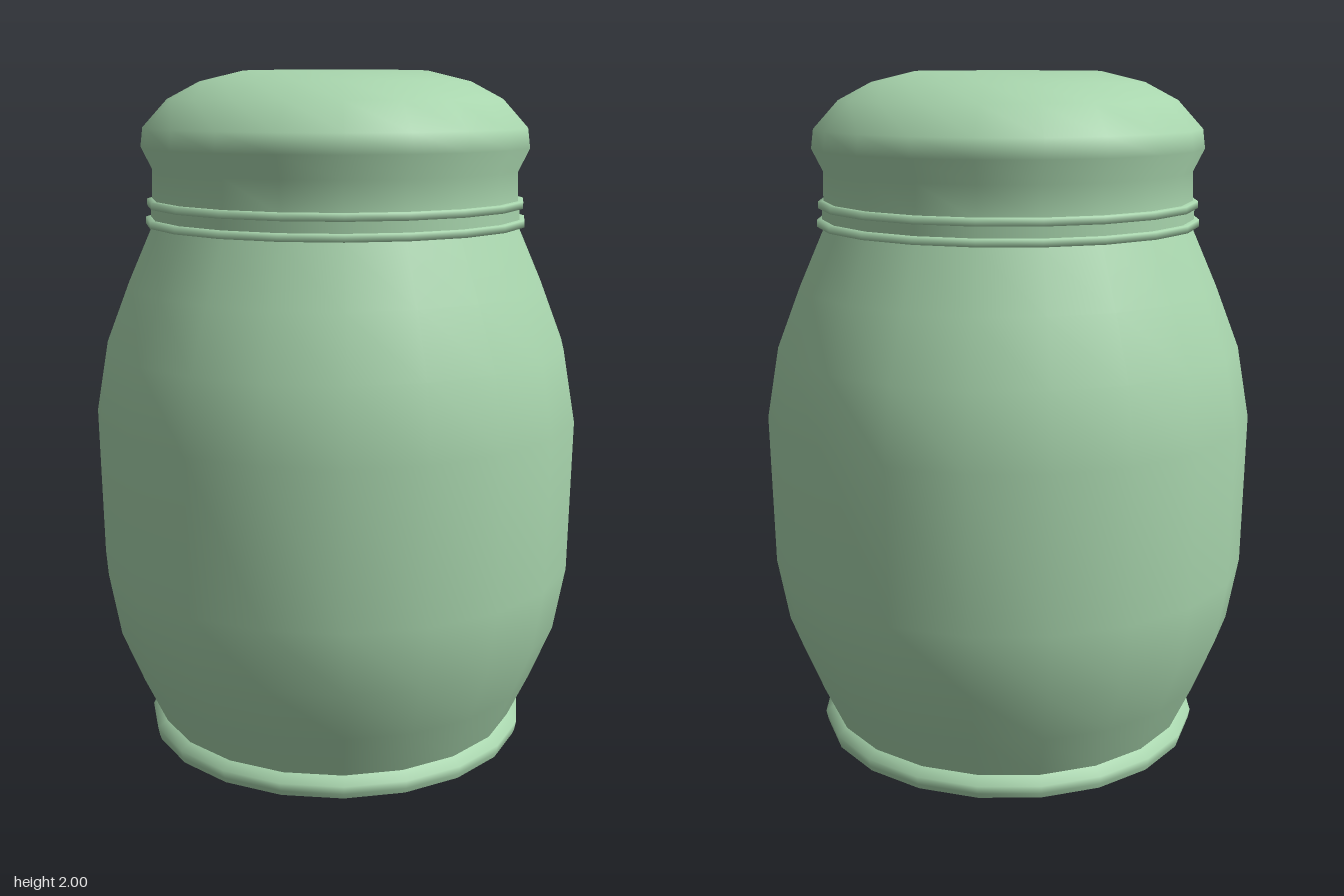
import * as THREE from 'three';

const SIDES = 20;

export function createModel() {
  const group = new THREE.Group();
  group.name = 'jar';
  const material = new THREE.MeshStandardMaterial({ color: 0xa8d5ad, side: THREE.DoubleSide });

  // Turns a [radius, height] profile, listed from bottom to top, around y
  function turned(name, profile) {
    const points = profile.map(([r, y]) => new THREE.Vector2(r, y));
    const mesh = new THREE.Mesh(new THREE.LatheGeometry(points, SIDES), material);
    mesh.name = name;
    group.add(mesh);
  }

  // Flat underside
  turned('underside', [[0, 0], [0.57, 0]]);

  // Flared foot
  turned('foot', [[0.57, 0], [0.575, 0.015], [0.58, 0.04], [0.55, 0.06]]);

  // Barrel-shaped body
  turned('body', [
    [0.55, 0.06], [0.615, 0.2], [0.68, 0.36], [0.714, 0.55],
    [0.722, 1.0], [0.685, 1.21], [0.615, 1.39], [0.54, 1.56],
  ]);

  // Two thin collar rings with a groove between them
  for (const [name, r, y] of [['lowerRing', 0.56, 1.56], ['upperRing', 0.555, 1.613]]) {
    turned(name, [[0.535, y], [r, y + 0.002], [r, y + 0.022], [0.535, y + 0.024]]);
  }
  turned('collarGroove', [[0.545, 1.575], [0.545, 1.62]]);

  // Lid: straight neck, bulging rim and domed, flat-topped crown
  turned('lid', [
    [0.54, 1.63], [0.538, 1.72], [0.57, 1.785], [0.563, 1.84],
    [0.49, 1.92], [0.395, 1.97], [0.27, 2.0], [0, 2.0],
  ]);

  return group;
}
